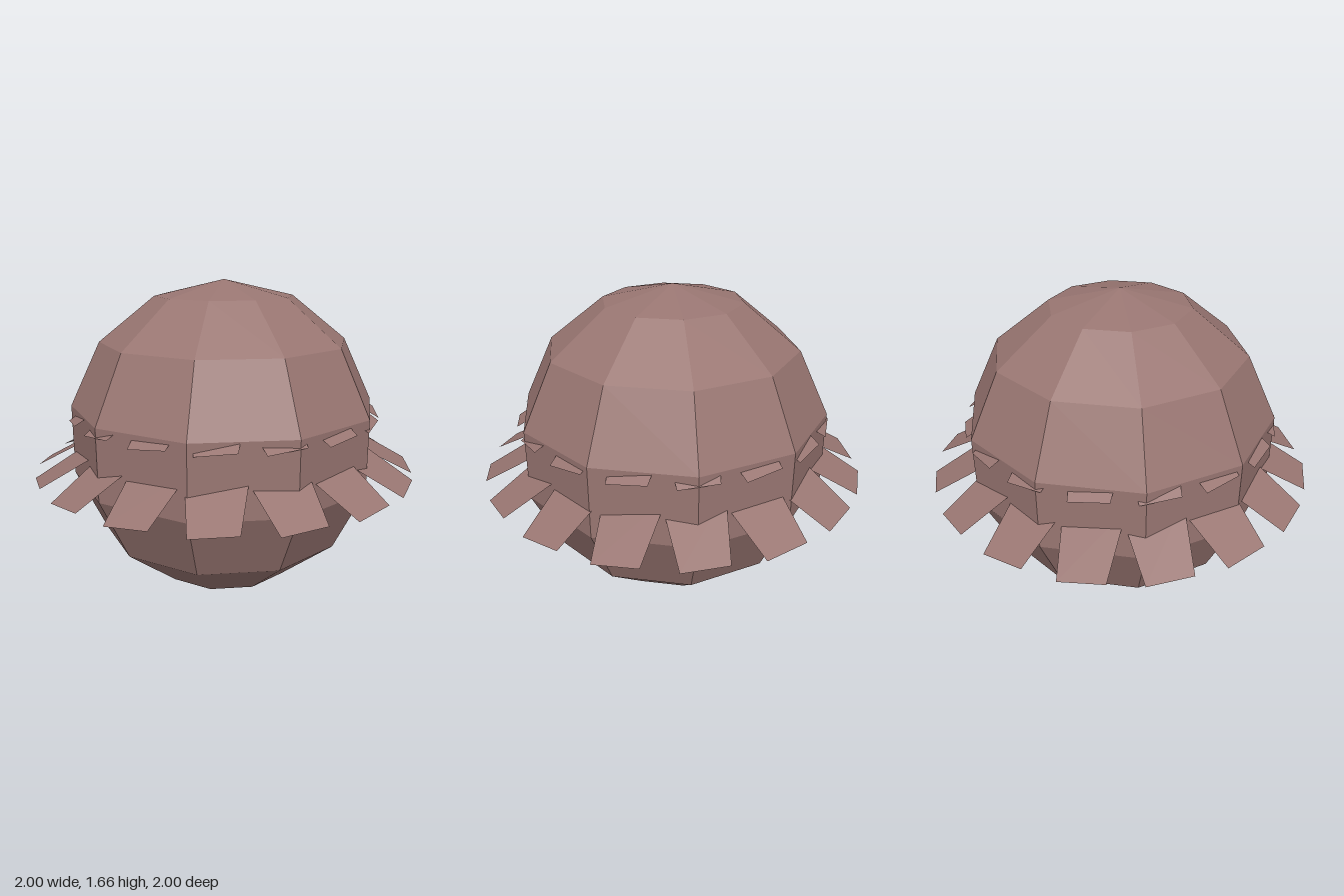
import * as THREE from 'three';

const clay = new THREE.MeshStandardMaterial({ color: 0x997672, flatShading: true, side: THREE.DoubleSide });
clay.name = 'dusty rose brown';

// Tapered thin plate facing +z, sloping down outwards with a slight sideways twist
function plateGeometry({ outer, inner, outerHalf, innerHalf, y, slope, twist }) {
  const geo = new THREE.PlaneGeometry(2, 2).rotateX(-Math.PI / 2);
  const p = geo.attributes.position;
  for (let i = 0; i < p.count; i++) {
    const isOuter = p.getZ(i) > 0;
    const r = isOuter ? outer : inner;
    const x = p.getX(i) * (isOuter ? outerHalf : innerHalf);
    p.setXYZ(i, x, y + (outer - r) * slope + x * twist, r);
  }
  geo.computeVertexNormals();
  return geo;
}

// Sixteen copies of a plate around the vertical axis
function plateRing(name, spec) {
  const ring = new THREE.Group();
  ring.name = name;
  const geo = plateGeometry(spec);
  const count = 16;
  for (let i = 0; i < count; i++) {
    const plate = new THREE.Mesh(geo, clay);
    plate.name = name + 'Plate';
    plate.rotation.y = (i / count) * Math.PI * 2;
    ring.add(plate);
  }
  return ring;
}

export function createModel() {
  const model = new THREE.Group();
  model.name = 'frilledBall';

  // Faceted ball with a corner on the front and back
  const radius = 0.829;
  const ball = new THREE.Mesh(new THREE.SphereGeometry(radius, 10, 7), clay);
  ball.name = 'ball';
  ball.position.y = radius;
  ball.rotation.y = Math.PI / 10;
  model.add(ball);

  // Wide lower frill, and an upper frill whose tips barely break the surface
  model.add(plateRing('lowerFrill', {
    outer: 1.0, inner: 0.68, outerHalf: 0.112, innerHalf: 0.15, y: 0.67, slope: 0.53, twist: 0.08,
  }));
  model.add(plateRing('upperFrill', {
    outer: 0.812, inner: 0.6, outerHalf: 0.097, innerHalf: 0.12, y: 0.966, slope: 0.6, twist: 0.09,
  }));
  return model;
}
